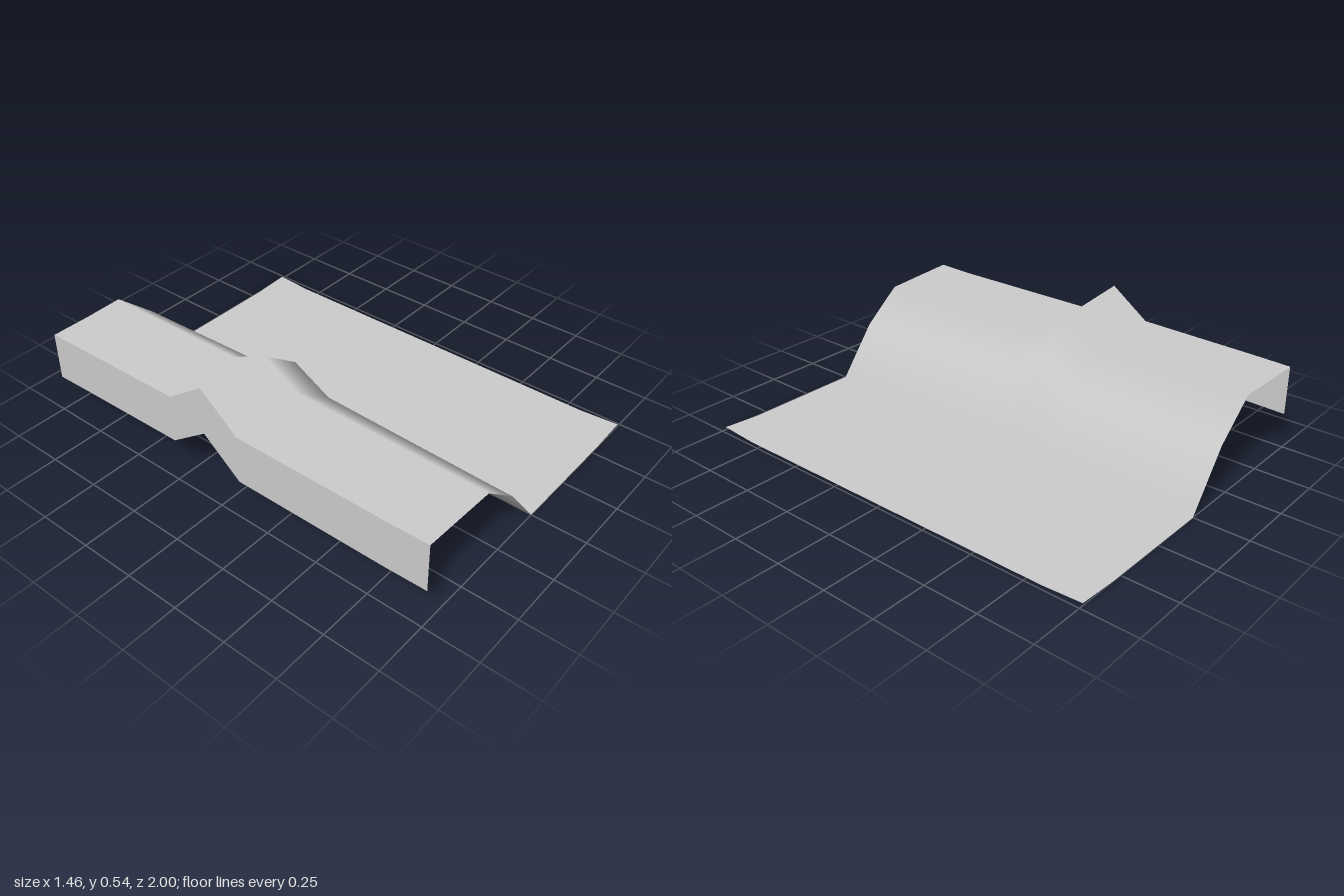
import * as THREE from 'three';

const HALF_X = 0.73, COLS = 8, ROWS = 11, SKIRT = 0.225;

// Cross-sections at key rows (back to front): heights from high side to low side
const SECTIONS = [
  { row: 0, h: [0.395, 0.395, 0.40, 0.245, 0, 0, 0, 0, 0.01] },
  { row: 1, h: [0.40, 0.397, 0.40, 0.25, 0, 0, 0, 0, 0] },
  { row: 4, h: [0.41, 0.41, 0.405, 0.265, 0, 0, 0, 0, 0] },
  { row: 5, h: [0.54, 0.51, 0.49, 0.36, 0.03, 0, 0, 0, 0] },
  { row: 6, h: [0.39, 0.39, 0.385, 0.26, 0, 0, 0, 0, 0] },
  { row: 10, h: [0.39, 0.385, 0.376, 0.235, 0, 0, 0, 0, 0] },
  { row: 11, h: [0.395, 0.385, 0.374, 0.23, 0, 0, 0, 0, 0.012] },
];

function heightAt(col, row) {
  const k = Math.max(1, SECTIONS.findIndex((s) => s.row >= row));
  const a = SECTIONS[k - 1], b = SECTIONS[k];
  return THREE.MathUtils.lerp(a.h[col], b.h[col], (row - a.row) / (b.row - a.row));
}

const xAt = (col) => -HALF_X + (2 * HALF_X * col) / COLS;
const zAt = (row) => -1 + (2 * row) / ROWS;

// Grid surface from point(col, row) and normal(col)
function gridSurface(cols, rows, point, normal) {
  const pos = [], nor = [], idx = [];
  for (let r = 0; r <= rows; r++) {
    for (let c = 0; c <= cols; c++) {
      pos.push(...point(c, r));
      nor.push(...normal(c));
      if (r < rows && c < cols) {
        const a = r * (cols + 1) + c, d = a + cols + 1;
        idx.push(a, d, a + 1, a + 1, d, d + 1);
      }
    }
  }
  const g = new THREE.BufferGeometry();
  g.setAttribute('position', new THREE.Float32BufferAttribute(pos, 3));
  g.setAttribute('normal', new THREE.Float32BufferAttribute(nor, 3));
  g.setIndex(idx);
  return g;
}

export function createModel() {
  const group = new THREE.Group();
  group.name = 'cliffTile';
  const stone = new THREE.MeshStandardMaterial({ color: 0xcccccc, side: THREE.DoubleSide });
  stone.name = 'light grey';

  // Ground: plateau, slope and lowland; only the slope column has a tilted normal
  const ground = new THREE.Mesh(
    gridSurface(COLS, ROWS,
      (c, r) => [xAt(c), heightAt(c, r), zAt(r)],
      (c) => (c === 3 ? [0.85, 0.527, 0] : [0, 1, 0])),
    stone);
  ground.name = 'ground';

  // Skirt: hangs below the high edge and follows its outline
  const skirt = new THREE.Mesh(
    gridSurface(1, ROWS,
      (c, r) => [-HALF_X, heightAt(0, r) - SKIRT * (1 - c), zAt(r)],
      () => [-1, 0, 0]),
    stone);
  skirt.name = 'edgeSkirt';

  group.add(ground, skirt);
  return group;
}
